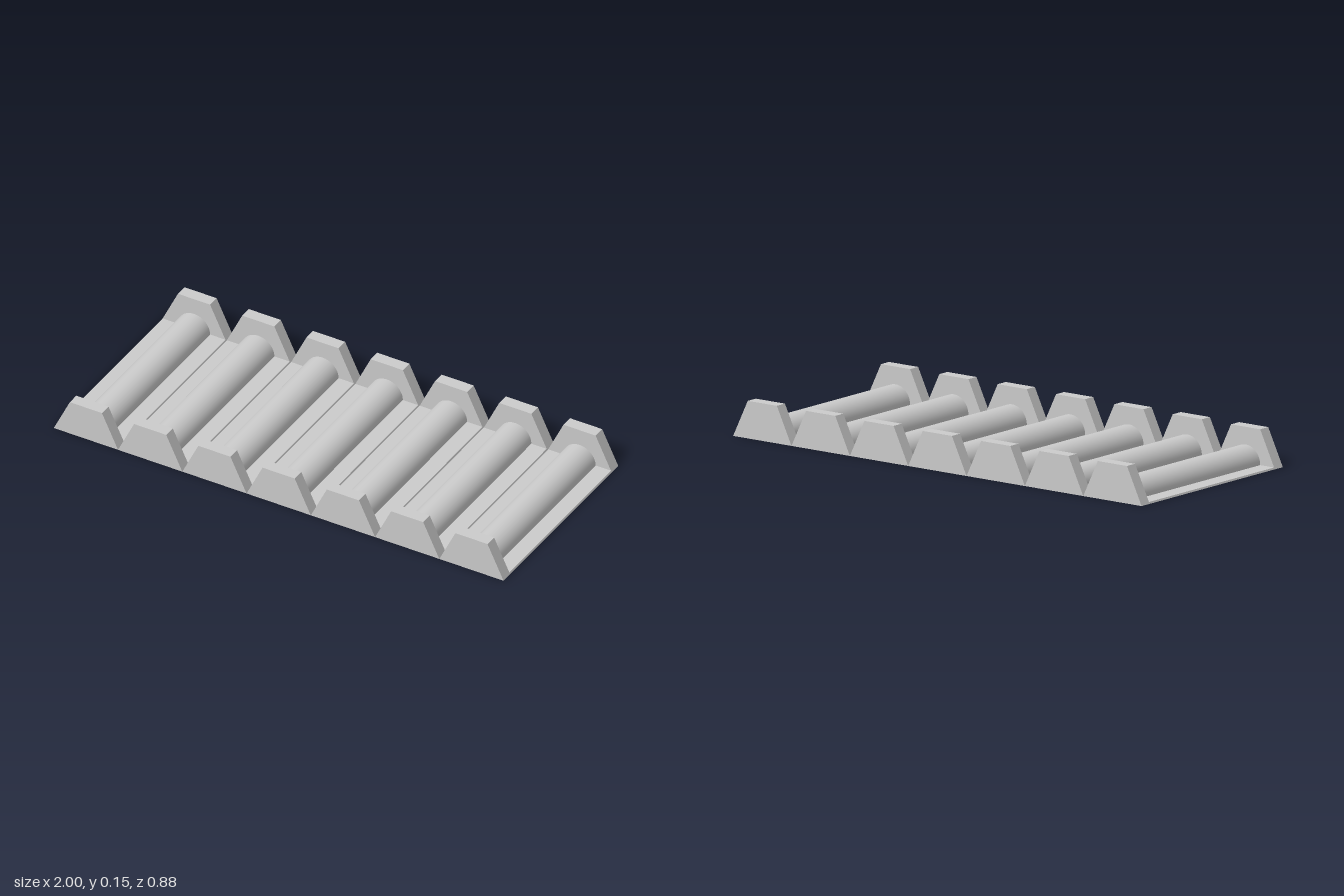
import * as THREE from 'three';

const COUNT = 7;
const PITCH = 2 / COUNT;
const HALF = PITCH / 2;      // half width of a unit at the ground
const HEIGHT = 0.148;        // end plate height
const FLOOR = 0.007;         // floor slab thickness
const DEPTH = 0.876;
const PLATE = 0.05;          // end plate thickness
const INNER = DEPTH - 2 * PLATE;
const RADIUS = PITCH / 4;

// Trapezoid bar running along z, centred on z = 0
function trapezoidBar(bottomHalf, topHalf, height, depth) {
  const shape = new THREE.Shape([
    new THREE.Vector2(-bottomHalf, 0),
    new THREE.Vector2(bottomHalf, 0),
    new THREE.Vector2(topHalf, height),
    new THREE.Vector2(-topHalf, height),
  ]);
  const geometry = new THREE.ExtrudeGeometry(shape, { depth, bevelEnabled: false });
  return geometry.translate(0, 0, -depth / 2);
}

export function createModel() {
  const model = new THREE.Group();
  model.name = 'ridgedTray';
  const material = new THREE.MeshStandardMaterial({ color: 0xcccccc });

  const plateGeometry = trapezoidBar(HALF, HALF / 2, HEIGHT, PLATE);
  // The floor edges follow the slope of the end plates
  const floorTopHalf = HALF - (HALF / 2) * (FLOOR / HEIGHT);
  const floorGeometry = trapezoidBar(HALF, floorTopHalf, FLOOR, INNER);
  // Smooth half-round ridge between the plates
  const ridgeGeometry = new THREE.CylinderGeometry(
    RADIUS, RADIUS, INNER, 32, 1, true, -Math.PI / 2, Math.PI
  ).rotateX(-Math.PI / 2);

  function addPart(parent, name, geometry, y = 0, z = 0) {
    const mesh = new THREE.Mesh(geometry, material);
    mesh.name = name;
    mesh.position.set(0, y, z);
    parent.add(mesh);
  }

  // Row of identical units side by side
  for (let i = 0; i < COUNT; i++) {
    const unit = new THREE.Group();
    unit.name = `unit${i + 1}`;
    unit.position.x = (i - (COUNT - 1) / 2) * PITCH;
    addPart(unit, 'floor', floorGeometry);
    addPart(unit, 'ridge', ridgeGeometry, FLOOR);
    addPart(unit, 'frontPlate', plateGeometry, 0, (DEPTH - PLATE) / 2);
    addPart(unit, 'backPlate', plateGeometry, 0, -(DEPTH - PLATE) / 2);
    model.add(unit);
  }
  return model;
}
